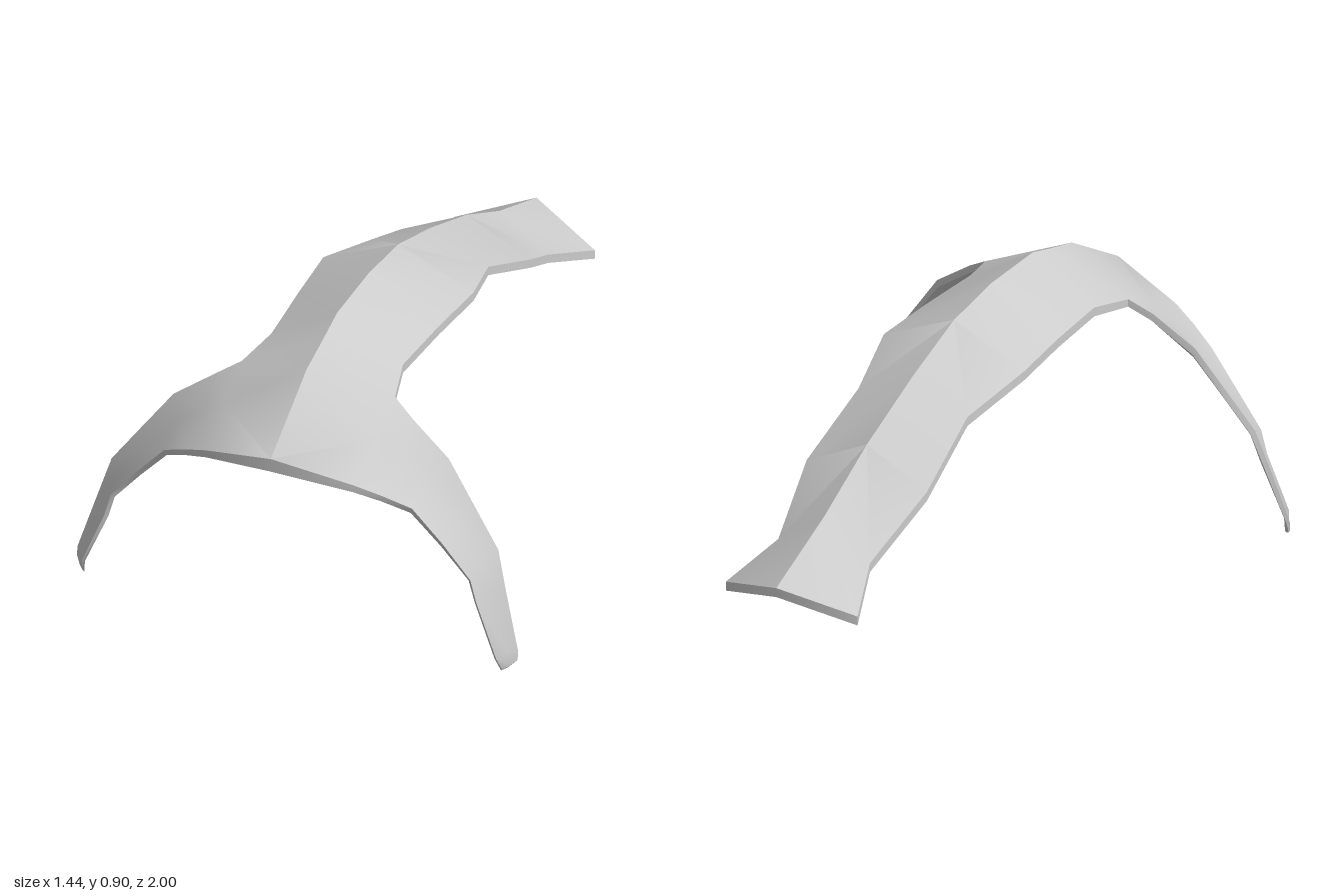
import * as THREE from 'three';
import { toCreasedNormals } from 'three/addons/utils/BufferGeometryUtils.js';

// A point on the outer skin, with the offset that leads to the inner skin
const pt = (x, y, z, dx = 0, dy = -0.03, dz = 0) => ({ o: [x, y, z], i: [x + dx, y + dy, z + dz] });

// Long strap, front to back: ridge y, ridge z, edge x, edge y, edge z
const strap = [
  [0.905, 0.5, 0.215, 0.775, 0.5],
  [0.905, 0.26, 0.23, 0.775, 0.26],
  [0.875, 0.04, 0.245, 0.765, 0.04],
  [0.79, -0.2, 0.19, 0.7, -0.2],
  [0.675, -0.47, 0.21, 0.57, -0.47],
  [0.54, -0.72, 0.16, 0.425, -0.72],
  [0.42, -1, 0.23, 0.345, -0.91],
];

// Arm sections, shoulder to tip: front edge, valley, back edge, inward offset
const arm = [
  [[0.24, 0.61, 0.935], [0.25, 0.685, 0.78], [0.25, 0.752, 0.64], [0, -0.025, 0]],
  [[0.32, 0.575, 0.905], [0.325, 0.635, 0.772], [0.32, 0.708, 0.668], [-0.003, -0.022, -0.003]],
  [[0.405, 0.53, 0.87], [0.41, 0.565, 0.768], [0.45, 0.615, 0.695], [-0.006, -0.02, -0.005]],
  [[0.5, 0.42, 0.858], [0.51, 0.45, 0.778], [0.545, 0.485, 0.72], [-0.009, -0.014, -0.008]],
  [[0.588, 0.31, 0.852], [0.603, 0.335, 0.79], [0.632, 0.365, 0.742], [-0.01, -0.009, -0.01]],
  [[0.608, 0.235, 0.853], [0.632, 0.245, 0.8], [0.665, 0.25, 0.765], [-0.01, -0.006, -0.01]],
  [[0.677, 0.06, 0.864], [0.697, 0.06, 0.822], [0.72, 0.06, 0.797], [-0.008, -0.004, -0.006]],
  [[0.685, 0.008, 0.838], [0.702, 0.015, 0.822], [0.72, 0.03, 0.8], [-0.004, -0.006, -0.003]],
];

// Both skins and the rim between them, each built on both halves
function frameGeometries() {
  const skinPos = [], rimPos = [];
  // Polygon as a fan, with its mirror image
  const face = (pos, ...c) => {
    for (let k = 1; k < c.length - 1; k++) {
      const t = [c[0], c[k], c[k + 1]];
      t.forEach((p) => pos.push(...p));
      [t[0], t[2], t[1]].forEach((p) => pos.push(-p[0], p[1], p[2]));
    }
  };
  // Outer and inner skin
  const panel = (...p) => {
    face(skinPos, ...p.map((q) => q.o));
    face(skinPos, ...p.map((q) => q.i).reverse());
  };

  const ridge = strap.map((s) => pt(0, s[0], s[1]));
  const edge = strap.map((s) => pt(s[2], s[3], s[4]));
  const [front, valley, back] = [0, 1, 2].map((j) => arm.map((s) => pt(...s[j], ...s[3])));
  const ridgeEnd = pt(0, 0.875, 0.6);
  const crown = pt(0, 0.84, 0.73);
  const peak = pt(0, 0.68, 1, 0, -0.045);

  // Strap
  for (let k = 0; k < strap.length - 1; k++) panel(ridge[k], edge[k], edge[k + 1], ridge[k + 1]);
  // Junction between strap and arms
  panel(ridgeEnd, back[0], edge[0], ridge[0]);
  panel(crown, back[0], ridgeEnd);
  panel(crown, valley[0], back[0]);
  panel(peak, front[0], valley[0], crown);
  // Arm
  for (let k = 0; k < arm.length - 1; k++) {
    panel(front[k], front[k + 1], valley[k + 1], valley[k]);
    panel(valley[k], valley[k + 1], back[k + 1], back[k]);
  }
  // Rim
  const rim = [peak, ...front, valley.at(-1), ...[...back].reverse(), ...edge, ridge.at(-1)];
  for (let k = 0; k < rim.length - 1; k++) {
    const a = rim[k], b = rim[k + 1];
    face(rimPos, b.o, a.o, a.i, b.i);
  }

  return [skinPos, rimPos].map((pos) => {
    const g = new THREE.BufferGeometry();
    g.setAttribute('position', new THREE.Float32BufferAttribute(pos, 3));
    return toCreasedNormals(g, 0.8);
  });
}

export function createModel() {
  const group = new THREE.Group();
  group.name = 'archedFrame';
  const material = new THREE.MeshStandardMaterial({ color: 0xcccccc });
  const names = ['strapWithArms', 'rim'];
  frameGeometries().forEach((geometry, k) => {
    const mesh = new THREE.Mesh(geometry, material);
    mesh.name = names[k];
    group.add(mesh);
  });
  return group;
}
